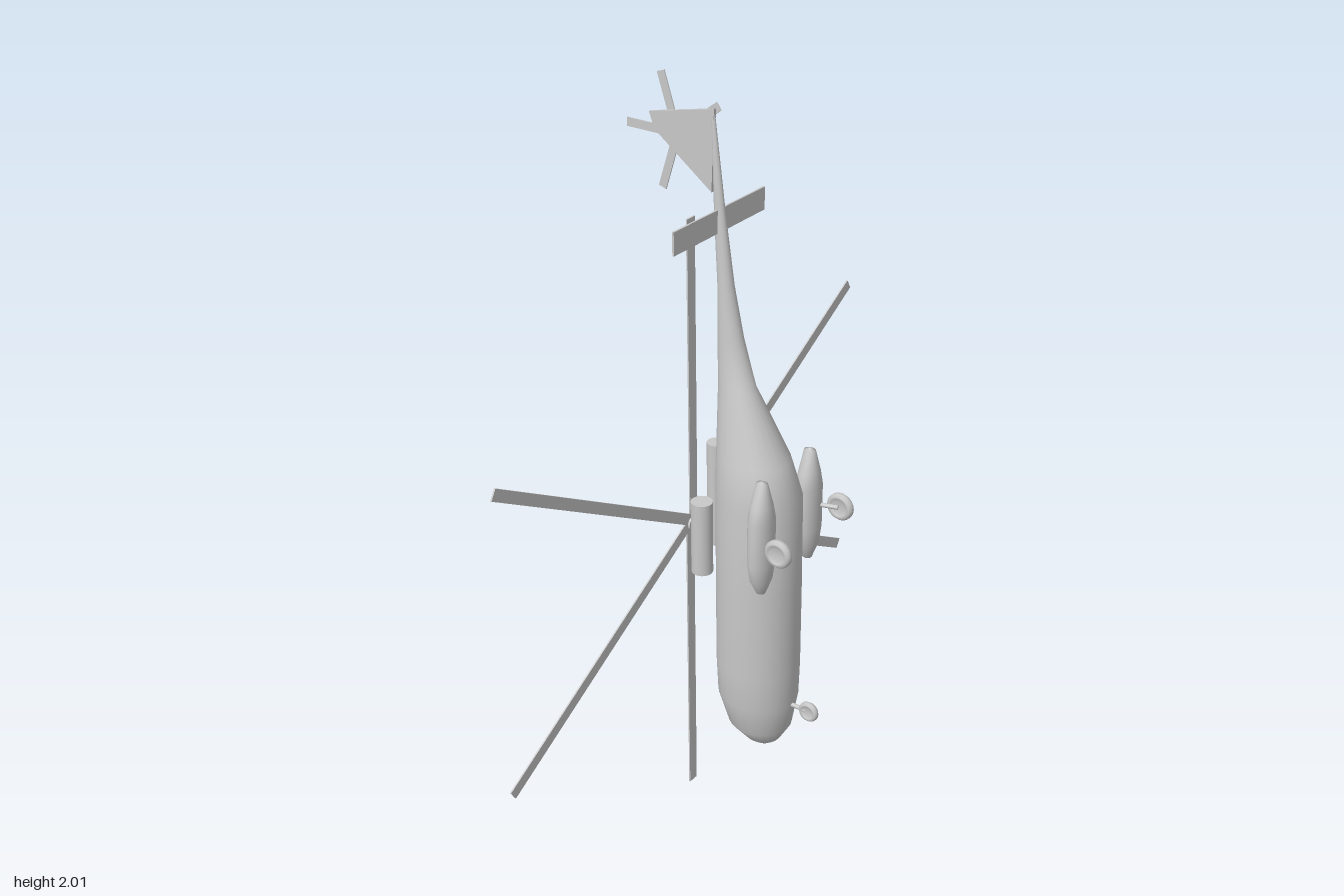
import * as THREE from 'three';

const grey = new THREE.MeshStandardMaterial({ color: 0xc8c8c8 });
grey.name = 'light grey';

function add(parent, name, geometry, x = 0, y = 0, z = 0) {
  const mesh = new THREE.Mesh(geometry, grey);
  mesh.name = name;
  mesh.position.set(x, y, z);
  parent.add(mesh);
  return mesh;
}

// Skins elliptical rings [y, centreZ, radiusX, radiusZ] into a closed smooth body
function loft(rings, sides = 24) {
  const pos = [], idx = [];
  for (const [y, cz, rx, rz] of rings) {
    for (let j = 0; j < sides; j++) {
      const t = (j / sides) * Math.PI * 2;
      pos.push(rx * Math.cos(t), y, cz + rz * Math.sin(t));
    }
  }
  for (let i = 0; i < rings.length - 1; i++) {
    for (let j = 0; j < sides; j++) {
      const k = (j + 1) % sides, a = i * sides, b = a + sides;
      idx.push(a + j, b + j, a + k, b + j, b + k, a + k);
    }
  }
  const g = new THREE.BufferGeometry();
  g.setAttribute('position', new THREE.Float32BufferAttribute(pos, 3));
  g.setIndex(idx);
  g.computeVertexNormals();
  return g;
}

// Round rod between two points
function rod(parent, name, from, to, radius) {
  const a = new THREE.Vector3(...from), b = new THREE.Vector3(...to);
  const m = add(parent, name, new THREE.CylinderGeometry(radius, radius, a.distanceTo(b), 10));
  m.position.copy(a).add(b).multiplyScalar(0.5);
  m.quaternion.setFromUnitVectors(new THREE.Vector3(0, 1, 0), b.sub(a).normalize());
}

// Wheel with a rounded tyre and a recessed hub, axle along x
function wheel(parent, name, r, w, x, y, z) {
  const h = w / 2;
  const profile = [
    [0, -h * 0.5], [r * 0.55, -h * 0.5], [r * 0.62, -h], [r * 0.85, -h], [r, -h * 0.4],
    [r, h * 0.4], [r * 0.85, h], [r * 0.62, h], [r * 0.55, h * 0.5], [0, h * 0.5],
  ].map(([a, b]) => new THREE.Vector2(a, b));
  const m = add(parent, name, new THREE.LatheGeometry(profile, 20), x, y, z);
  m.rotation.z = -Math.PI / 2;
}

// Rotor in its local xy plane; each blade runs outward and is set slightly off its radius
function rotor(name, count, length, width, thick, offset, start) {
  const group = new THREE.Group();
  group.name = name;
  for (let i = 0; i < count; i++) {
    const arm = new THREE.Group();
    arm.name = 'bladeArm';
    arm.rotation.z = start + (i / count) * Math.PI * 2;
    add(arm, 'blade', new THREE.BoxGeometry(length, width, thick), length / 2, -offset, 0);
    group.add(arm);
  }
  return group;
}

export function createModel() {
  const model = new THREE.Group();
  model.name = 'helicopter';

  // Fuselage and tail boom, nose down with the belly towards +z
  add(model, 'fuselage', loft([
    [0.238, 0.128, 0.002, 0.002], [0.243, 0.128, 0.02, 0.022], [0.264, 0.125, 0.046, 0.05],
    [0.31, 0.116, 0.08, 0.086], [0.4, 0.108, 0.099, 0.109], [0.5, 0.107, 0.104, 0.112],
    [0.75, 0.106, 0.105, 0.112], [1.0, 0.104, 0.103, 0.112], [1.1, 0.087, 0.084, 0.097],
    [1.28, 0.036, 0.038, 0.05], [1.4, 0.017, 0.028, 0.034], [1.53, 0.003, 0.02, 0.021],
    [1.7, -0.014, 0.012, 0.015], [1.955, -0.034, 0.004, 0.004], [1.956, -0.034, 0.0005, 0.0005],
  ]));

  // Engine housings
  add(model, 'centreEngine', new THREE.CylinderGeometry(0.024, 0.024, 0.29, 20), 0, 0.955, -0.027);
  for (const s of [-1, 1]) {
    add(model, 'sideEngine', new THREE.CylinderGeometry(0.028, 0.028, 0.205, 20), s * 0.062, 0.855, -0.027);

    // Side pods with main landing gear
    add(model, 'sidePod', loft([
      [0.785, 0.184, 0.002, 0.002], [0.79, 0.184, 0.012, 0.012], [0.83, 0.184, 0.033, 0.026],
      [0.88, 0.184, 0.042, 0.031], [1.0, 0.184, 0.042, 0.031],
      [1.04, 0.184, 0.032, 0.027], [1.1, 0.184, 0.012, 0.016], [1.104, 0.184, 0.002, 0.002],
    ], 20), s * 0.104);
    rod(model, 'mainStrut', [s * 0.11, 0.945, 0.19], [s * 0.13, 0.945, 0.255], 0.006);
    wheel(model, 'mainWheel', 0.037, 0.022, s * 0.138, 0.945, 0.257);
  }

  // Nose gear
  rod(model, 'noseStrut', [0, 0.395, 0.19], [0, 0.395, 0.26], 0.006);
  wheel(model, 'noseWheel', 0.028, 0.018, 0, 0.395, 0.268);

  // Main rotor with mast and hub
  rod(model, 'rotorMast', [0, 0.838, 0], [0, 0.838, -0.11], 0.01);
  rod(model, 'rotorHub', [0, 0.838, -0.098], [0, 0.838, -0.118], 0.02);
  const main = rotor('mainRotor', 6, 0.837, 0.03, 0.004, 0.007, Math.PI / 6);
  main.position.set(0, 0.837, -0.106);
  model.add(main);

  // Tail fin, drawn in (-z, y) and laid into the centre plane
  const fin = new THREE.Shape([[0.028, 1.955], [0.215, 1.915], [0.2, 1.875], [0.036, 1.755]]
    .map(([a, b]) => new THREE.Vector2(a, b)));
  const finGeo = new THREE.ExtrudeGeometry(fin, { depth: 0.008, bevelEnabled: false });
  finGeo.translate(0, 0, -0.004).rotateY(Math.PI / 2);
  add(model, 'tailFin', finGeo);

  // Horizontal stabiliser
  add(model, 'stabiliser', new THREE.BoxGeometry(0.36, 0.058, 0.005), 0, 1.69, -0.015);

  // Tail rotor on the left side of the fin
  rod(model, 'tailRotorHub', [0, 1.868, -0.15], [0.026, 1.868, -0.15], 0.011);
  const tail = rotor('tailRotor', 5, 0.148, 0.022, 0.003, 0, 0);
  tail.rotation.y = Math.PI / 2;
  tail.position.set(0.019, 1.868, -0.15);
  model.add(tail);

  return model;
}
